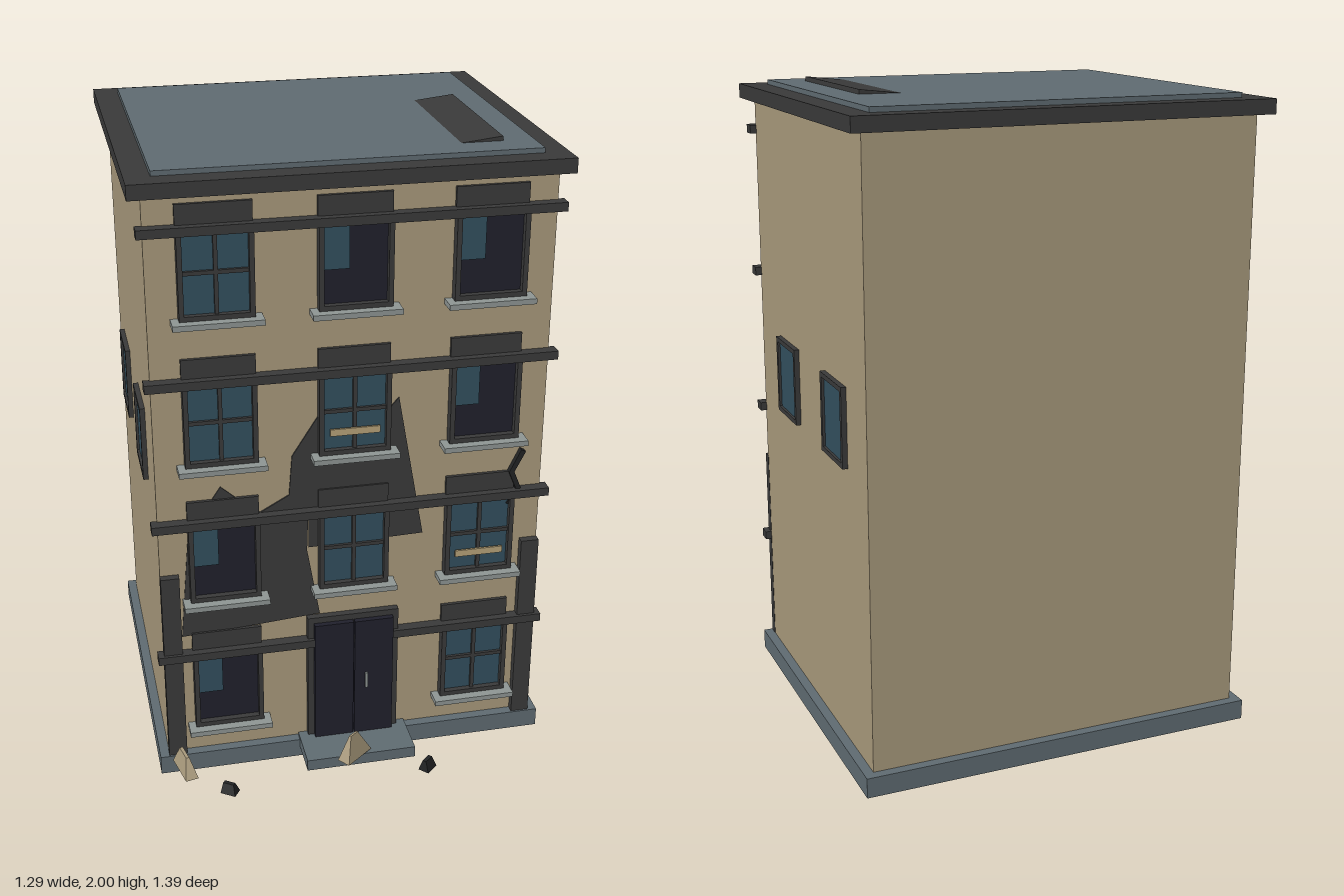
import * as THREE from 'three';

const mat = (name, color) => {
  const m = new THREE.MeshStandardMaterial({ color });
  m.name = name;
  return m;
};

export function createModel() {
  const wall = mat('tan wall', 0xaa9b7d);
  const slate = mat('slate', 0x606c72);
  const trim = mat('charcoal trim', 0x3a3a3a);
  const dark = mat('dark interior', 0x20202c);
  const glass = mat('blue glass', 0x33505f);
  const stone = mat('pale stone', 0x8f9694);
  const black = mat('black debris', 0x222324);
  const wood = mat('board wood', 0xb8a47a);

  const model = new THREE.Group();
  model.name = 'derelictTownhouse';

  // Box given by its limits on each axis
  const box = (parent, name, material, x0, x1, y0, y1, z0, z1) => {
    const m = new THREE.Mesh(new THREE.BoxGeometry(x1 - x0, y1 - y0, z1 - z0), material);
    m.position.set((x0 + x1) / 2, (y0 + y1) / 2, (z0 + z1) / 2);
    m.name = name;
    parent.add(m);
    return m;
  };
  const group = (name, x = 0, y = 0, z = 0) => {
    const g = new THREE.Group();
    g.name = name;
    g.position.set(x, y, z);
    model.add(g);
    return g;
  };
  // Flat outline pushed out along z
  const plate = (name, material, points, z, depth) => {
    const shape = new THREE.Shape(points.map(([x, y]) => new THREE.Vector2(x, y)));
    const m = new THREE.Mesh(new THREE.ExtrudeGeometry(shape, { depth, bevelEnabled: false }), material);
    m.position.z = z;
    m.name = name;
    model.add(m);
  };
  // Four bars around an opening
  const frame = (g, w, y0, y1, t, z0, z1) => {
    for (const s of [-1, 1]) {
      const xs = [s * w / 2, s * (w / 2 - t)].sort((a, b) => a - b);
      box(g, 'frameSide', trim, xs[0], xs[1], y0, y1, z0, z1);
    }
    box(g, 'frameTop', trim, -w / 2 + t, w / 2 - t, y1 - t, y1, z0, z1);
    box(g, 'frameBottom', trim, -w / 2 + t, w / 2 - t, y0, y0 + t, z0, z1);
  };

  // Main masses
  box(model, 'plinth', slate, -0.635, 0.635, 0, 0.063, -0.69, 0.428);
  box(model, 'walls', wall, -0.605, 0.605, 0.063, 1.925, -0.66, 0.397);
  box(model, 'cornice', trim, -0.645, 0.645, 1.925, 1.97, -0.697, 0.432);
  box(model, 'roof', slate, -0.57, 0.57, 1.97, 1.985, -0.63, 0.36);
  const panel = box(model, 'loosePanel', trim, 0.33, 0.475, 1.973, 1.991, -0.265, 0.262);
  panel.rotation.z = 0.11;

  // Bands and corner piers
  const floors = [0.445, 0.91, 1.375, 1.84];
  for (const y of floors) box(model, 'band', trim, -0.625, 0.625, y - 0.027, y, 0.39, 0.432);
  for (const s of [-1, 1]) {
    box(model, 'cornerPier', trim, s * 0.577 - 0.029, s * 0.577 + 0.029, 0.063, 0.72, 0.39, 0.422);
  }

  // Front windows, measured from the band above each one
  const frontWindow = (x, y, kind) => {
    const g = group('frontWindow', x, y);
    box(g, 'lintel', trim, -0.11, 0.11, -0.01, 0.06, 0.39, 0.408);
    frame(g, 0.22, -0.28, 0, 0.015, 0.395, 0.428);
    box(g, 'sill', stone, -0.133, 0.133, -0.297, -0.28, 0.39, 0.457);
    if (kind === 'broken') {
      box(g, 'opening', dark, -0.095, 0.095, -0.265, -0.015, 0.397, 0.408);
      box(g, 'glassShard', glass, -0.095, -0.018, -0.16, -0.015, 0.408, 0.413);
      return;
    }
    box(g, 'pane', glass, -0.095, 0.095, -0.265, -0.015, 0.397, 0.41);
    box(g, 'uprightBar', trim, -0.006, 0.006, -0.265, -0.015, 0.41, 0.42);
    box(g, 'crossBar', trim, -0.095, 0.095, -0.146, -0.134, 0.41, 0.419);
    if (kind === 'boarded') box(g, 'board', wood, -0.077, 0.077, -0.218, -0.196, 0.42, 0.427);
  };
  const kinds = [
    ['broken', null, 'whole'],
    ['broken', 'whole', 'boarded'],
    ['whole', 'boarded', 'broken'],
    ['whole', 'broken', 'broken'],
  ];
  kinds.forEach((row, i) => row.forEach((kind, j) => {
    if (kind) frontWindow((j - 1) * 0.405, floors[i], kind);
  }));

  // Side windows on both flanks
  for (const s of [-1, 1]) for (const z of [0.08, -0.385]) {
    const g = group('sideWindow', s * 0.605, 1.067, z);
    g.rotation.y = s * Math.PI / 2;
    frame(g, 0.2, -0.122, 0.122, 0.015, -0.005, 0.016);
    box(g, 'pane', glass, -0.085, 0.085, -0.107, 0.107, -0.005, 0.008);
  }

  // Door and step
  const door = group('door');
  box(door, 'doorFrame', trim, -0.148, 0.148, 0.063, 0.52, 0.39, 0.42);
  for (const s of [-1, 1]) {
    box(door, 'doorLeaf', dark, s * 0.065 - 0.063, s * 0.065 + 0.063, 0.066, 0.5, 0.41, 0.438);
  }
  box(door, 'handle', stone, 0.036, 0.044, 0.25, 0.305, 0.438, 0.446);
  box(door, 'step', slate, -0.178, 0.178, 0.035, 0.073, 0.4, 0.556);

  // Patches of missing plaster
  plate('upperPatch', trim, [[0.14, 1.255], [0.225, 0.78], [-0.14, 0.77], [-0.14, 0.91], [-0.29, 0.91],
    [-0.2, 0.96], [-0.19, 1.09], [-0.11, 1.215], [0.1, 1.21]], 0.396, 0.006);
  plate('lowerPatch', trim, [[-0.545, 0.495], [-0.3, 0.51], [-0.105, 0.525], [-0.145, 0.76], [-0.14, 0.91],
    [-0.29, 0.91], [-0.36, 0.965], [-0.41, 1.01], [-0.44, 0.965], [-0.515, 0.84]], 0.396, 0.005);

  // Crack
  plate('crack', black, [[0.532, 1.045], [0.496, 0.97], [0.52, 0.912], [0.492, 0.86], [0.506, 0.856],
    [0.537, 0.912], [0.513, 0.97], [0.547, 1.037]], 0.396, 0.02);

  // Rubble: boxes pinched towards an off-centre top ridge
  const rubble = (name, material, x, y, z, w, h, d, turn, pinch) => {
    const geo = new THREE.BoxGeometry(w, h, d).toNonIndexed();
    const p = geo.attributes.position;
    for (let i = 0; i < p.count; i++) {
      if (p.getY(i) > 0) p.setXYZ(i, p.getX(i) * pinch - w * 0.06, p.getY(i), p.getZ(i) * pinch * 0.5);
    }
    geo.computeVertexNormals();
    const m = new THREE.Mesh(geo, material);
    m.position.set(x, y + h / 2, z);
    m.rotation.y = turn;
    m.name = name;
    model.add(m);
  };
  rubble('plasterChunk', wall, -0.565, 0.073, 0.515, 0.12, 0.06, 0.042, -1.35, 0.5);
  rubble('plasterChunk', wall, -0.025, 0.08, 0.562, 0.115, 0.085, 0.045, 0.68, 0.3);
  rubble('darkChunk', black, -0.443, 0.068, 0.648, 0.05, 0.033, 0.036, -0.6, 0.7);
  rubble('darkChunk', black, 0.19, 0.07, 0.663, 0.05, 0.037, 0.036, 0.75, 0.7);
  return model;
}
